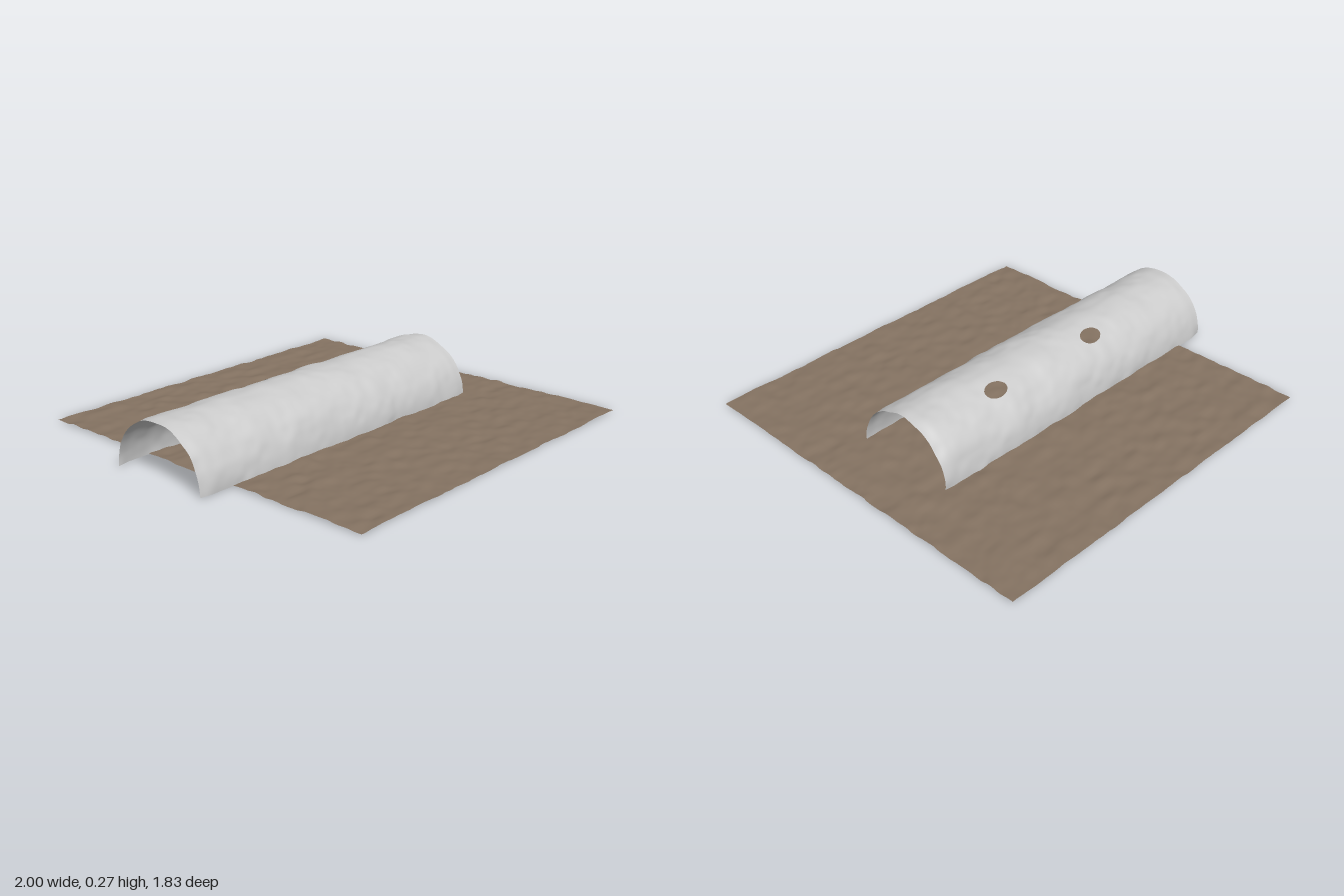
import * as THREE from 'three';

const mat = (name, color) => {
  const m = new THREE.MeshStandardMaterial({ color, side: THREE.DoubleSide });
  m.name = name;
  return m;
};

// Smooth seeded value noise in -1..1
const hash = (i, j) => {
  const s = Math.sin(i * 127.1 + j * 311.7) * 43758.5453;
  return (s - Math.floor(s)) * 2 - 1;
};
const noise = (x, y) => {
  const i = Math.floor(x), j = Math.floor(y);
  const fx = THREE.MathUtils.smootherstep(x - i, 0, 1);
  const fy = THREE.MathUtils.smootherstep(y - j, 0, 1);
  const { lerp } = THREE.MathUtils;
  return lerp(lerp(hash(i, j), hash(i + 1, j), fx), lerp(hash(i, j + 1), hash(i + 1, j + 1), fx), fy);
};

// Rough square of earth
function buildGround(material) {
  const geo = new THREE.PlaneGeometry(1.825, 1.825, 110, 110).rotateX(-Math.PI / 2);
  const p = geo.attributes.position;
  for (let i = 0; i < p.count; i++) {
    const x = p.getX(i), z = p.getZ(i);
    p.setY(i, 0.015 + 0.005 * noise(x * 13 + 40, z * 19 + 40) + 0.002 * noise(x * 27, z * 33));
  }
  geo.computeVertexNormals();
  const mesh = new THREE.Mesh(geo, material);
  mesh.name = 'ground';
  mesh.position.x = 0.0875;
  return mesh;
}

// Half-round shell: a flat sheet with two oval openings, bent over an arc
function buildShell(material) {
  const radius = 0.257, length = 1.722, baseY = 0.011;
  const centreX = -0.133, centreZ = -0.012;
  const holes = [-0.32, 0.3].map(x => ({ x: x - centreX, s: 0.122, a: 0.06, b: 0.04 }));
  const geo = new THREE.PlaneGeometry(length, radius * Math.PI, 150, 70);
  const p = geo.attributes.position;
  const inside = new Array(p.count).fill(false);

  for (let i = 0; i < p.count; i++) {
    let x = p.getX(i), s = p.getY(i);
    // Snap the vertices within an opening to its rim
    for (const h of holes) {
      const dx = (x - h.x) / h.a, ds = (s - h.s) / h.b, d = Math.hypot(dx, ds);
      if (d < 1) {
        inside[i] = true;
        const k = 1 / Math.max(d, 1e-4);
        x = h.x + dx * k * h.a;
        s = h.s + ds * k * h.b;
      }
    }
    const angle = s / radius;
    const end = THREE.MathUtils.smoothstep(Math.abs(x), length / 2 - 0.06, length / 2);
    const r = radius + 0.005 * noise(x * 8 + 20, s * 9 + 20) + 0.002 * noise(x * 20, s * 22) - 0.006 * end;
    const wobble = 0.004 * noise(x * 6 + 9, s * 14 + 5);
    p.setXYZ(i, x + wobble, baseY + r * Math.cos(angle), -r * Math.sin(angle));
  }

  const old = geo.index.array, kept = [];
  for (let i = 0; i < old.length; i += 3) {
    const tri = [old[i], old[i + 1], old[i + 2]];
    if (!tri.every(v => inside[v])) kept.push(...tri);
  }
  geo.setIndex(kept);
  geo.computeVertexNormals();
  const mesh = new THREE.Mesh(geo, material);
  mesh.name = 'archedShell';
  mesh.position.set(centreX, 0, centreZ);
  return mesh;
}

// Small wooden table with a bench on each side
function buildTable(wood, frame) {
  const table = new THREE.Group();
  table.name = 'table';
  const box = (name, w, h, d, x, y, z, material, tilt = 0) => {
    const m = new THREE.Mesh(new THREE.BoxGeometry(w, h, d), material);
    m.name = name;
    m.position.set(x, y, z);
    m.rotation.x = tilt;
    table.add(m);
  };
  box('tableTop', 0.09, 0.006, 0.046, 0, 0.058, 0, wood);
  for (const side of [-1, 1]) {
    box('bench', 0.09, 0.005, 0.016, 0, 0.034, side * 0.031, wood);
    box('crossBeam', 0.005, 0.005, 0.07, side * 0.032, 0.03, 0, frame);
    for (const z of [-1, 1]) {
      box('leg', 0.005, 0.046, 0.006, side * 0.032, 0.035, z * 0.022, frame, -z * 0.3);
    }
  }
  table.position.z = -0.022;
  return table;
}

export function createModel() {
  const group = new THREE.Group();
  group.name = 'archedShelter';
  group.add(
    buildGround(mat('earth brown', 0x857362)),
    buildShell(mat('pale grey', 0xcacaca)),
    buildTable(mat('wood brown', 0x8a6a48), mat('dark wood', 0x5a4634)),
  );
  return group;
}
